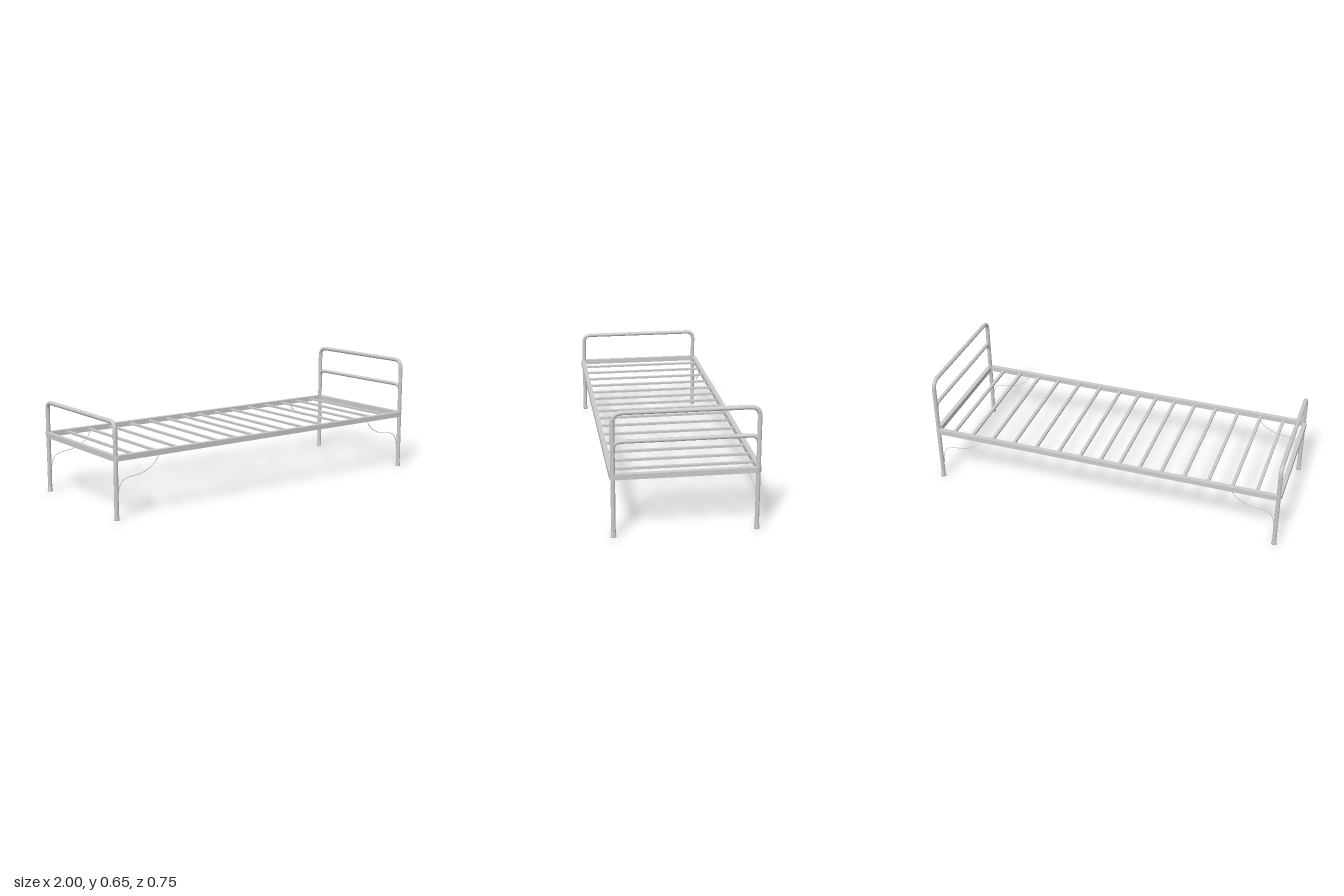
import * as THREE from 'three';

const grey = new THREE.MeshStandardMaterial({ color: 0xcccccc });
const V = (x, y, z) => new THREE.Vector3(x, y, z);

function add(parent, name, geometry, x = 0, y = 0, z = 0) {
  const mesh = new THREE.Mesh(geometry, grey);
  mesh.name = name;
  mesh.position.set(x, y, z);
  parent.add(mesh);
}

// Rounded rectangle in the ground plane
function roundedRect(path, w, d, r) {
  path.moveTo(-w + r, -d);
  path.absarc(w - r, -d + r, r, -Math.PI / 2, 0);
  path.absarc(w - r, d - r, r, 0, Math.PI / 2);
  path.absarc(-w + r, d - r, r, Math.PI / 2, Math.PI);
  path.absarc(-w + r, -d + r, r, Math.PI, Math.PI * 1.5);
  return path;
}

// Bent tube: upright, rounded corner, top bar, rounded corner, upright
function hoopGeometry({ x, z, bottom, top, bend, radius }) {
  const path = new THREE.CurvePath();
  path.add(new THREE.LineCurve3(V(x, bottom, z), V(x, top - bend, z)));
  path.add(new THREE.QuadraticBezierCurve3(V(x, top - bend, z), V(x, top, z), V(x, top, z - bend)));
  path.add(new THREE.LineCurve3(V(x, top, z - bend), V(x, top, bend - z)));
  path.add(new THREE.QuadraticBezierCurve3(V(x, top, bend - z), V(x, top, -z), V(x, top - bend, -z)));
  path.add(new THREE.LineCurve3(V(x, top - bend, -z), V(x, bottom, -z)));
  return new THREE.TubeGeometry(path, 140, radius, 12);
}

// Thin curved wire strip: an outline along the curve, extruded across z
function braceGeometry(side) {
  const points = [[0.97, 0.1], [0.966, 0.15], [0.945, 0.195], [0.9, 0.213],
    [0.83, 0.222], [0.77, 0.25], [0.738, 0.28], [0.725, 0.308]];
  const curve = new THREE.SplineCurve(points.map(([x, y]) => new THREE.Vector2(side * x, y)));
  const outer = [], inner = [];
  for (let i = 0; i <= 28; i++) {
    const p = curve.getPoint(i / 28), t = curve.getTangent(i / 28);
    const n = new THREE.Vector2(-t.y, t.x).multiplyScalar(0.0015);
    outer.push(p.clone().add(n));
    inner.unshift(p.clone().sub(n));
  }
  const geometry = new THREE.ExtrudeGeometry(new THREE.Shape([...outer, ...inner]),
    { depth: 0.003, bevelEnabled: false });
  return geometry.translate(0, 0, -0.0015);
}

export function createModel() {
  const bed = new THREE.Group();
  bed.name = 'bedFrame';

  // Rectangular rail around the bed
  const rail = roundedRect(new THREE.Shape(), 0.998, 0.377, 0.028);
  rail.holes.push(roundedRect(new THREE.Path(), 0.974, 0.352, 0.004));
  const railGeometry = new THREE.ExtrudeGeometry(rail, { depth: 0.028, bevelEnabled: false, curveSegments: 6 });
  railGeometry.rotateX(-Math.PI / 2);
  add(bed, 'railFrame', railGeometry, 0, 0.305, 0);

  // Cross slats
  const slats = new THREE.Group();
  slats.name = 'slats';
  bed.add(slats);
  const slatX = [-0.863, -0.73, -0.596, -0.463, -0.334, -0.212, -0.098, 0.012,
    0.13, 0.258, 0.392, 0.525, 0.653, 0.776, 0.888];
  for (const x of slatX) add(slats, 'slat', new THREE.BoxGeometry(0.017, 0.011, 0.71), x, 0.32, 0);

  // Headboard and footboard hoops, which also form the legs
  const ends = [
    { name: 'headboard', x: 0.982, z: 0.36, bottom: 0.004, top: 0.643, bend: 0.05, radius: 0.0115 },
    { name: 'footboard', x: -0.981, z: 0.357, bottom: 0.004, top: 0.498, bend: 0.045, radius: 0.0115 },
  ];
  const footProfile = [[0, 0], [0.0145, 0], [0.0145, 0.004], [0.0125, 0.009], [0.014, 0.015], [0.0125, 0.021], [0.011, 0.022]]
    .map(([r, y]) => new THREE.Vector2(r, y));
  for (const end of ends) {
    const group = new THREE.Group();
    group.name = end.name;
    bed.add(group);
    add(group, 'hoop', hoopGeometry(end));
    for (const side of [-1, 1]) {
      add(group, 'footCap', new THREE.LatheGeometry(footProfile, 14), end.x, 0, side * end.z);
      add(group, 'legBrace', braceGeometry(Math.sign(end.x)), 0, 0, side * 0.355);
    }
  }

  // Middle bar of the headboard, its ends bent down into the posts
  add(bed, 'headboardBar', hoopGeometry(
    { x: 0.982, z: 0.358, bottom: 0.44, top: 0.497, bend: 0.042, radius: 0.0105 }));

  return bed;
}
